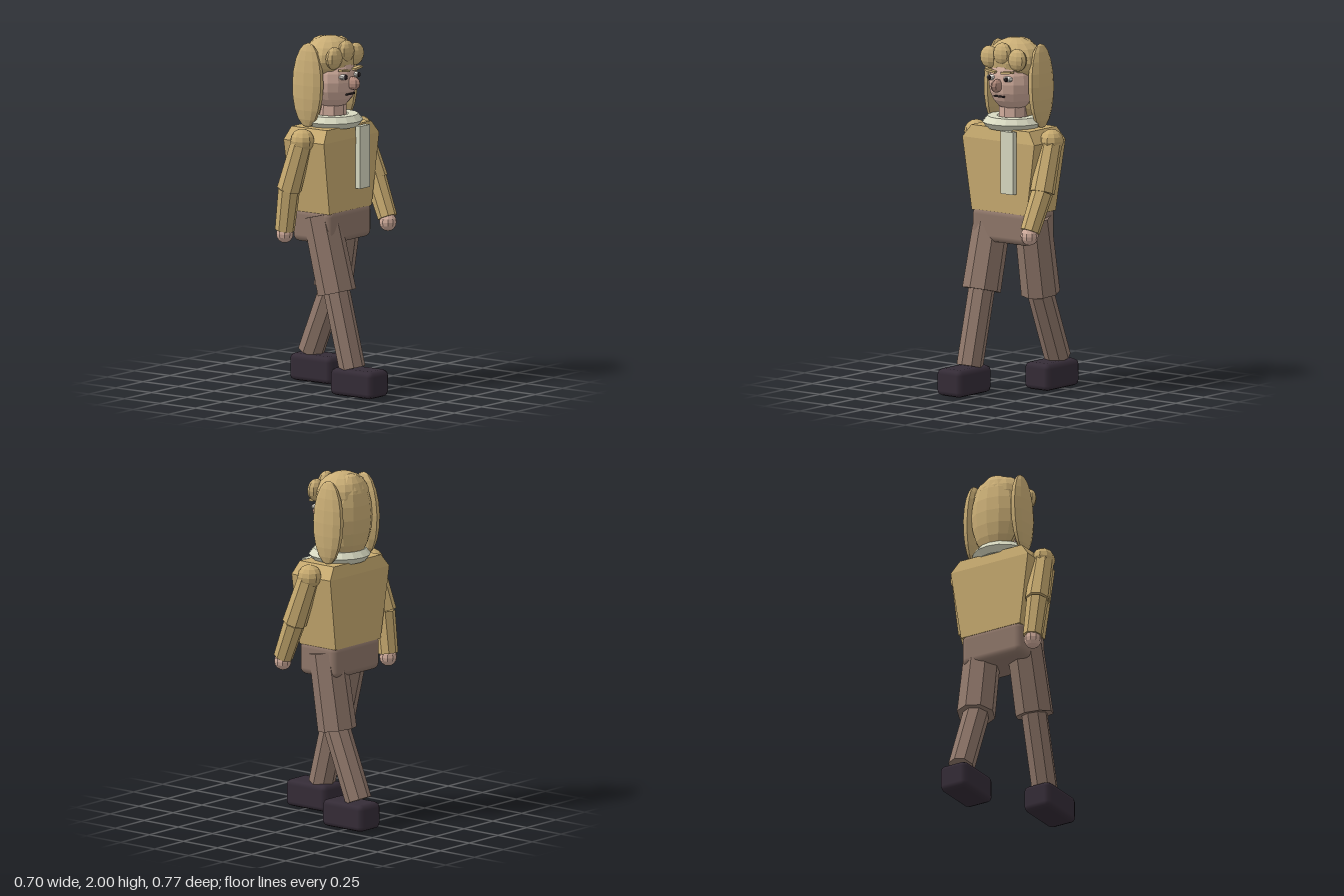
import * as THREE from 'three';
import { RoundedBoxGeometry } from 'three/addons/geometries/RoundedBoxGeometry.js';

const V = (x, y, z) => new THREE.Vector3(x, y, z);

function mat(name, color, flat = true) {
  const m = new THREE.MeshStandardMaterial({ color, flatShading: flat });
  m.name = name;
  return m;
}

export function createModel() {
  const root = new THREE.Group();
  root.name = 'walkingFigure';
  const coat = mat('tan coat', 0xc8ab70);
  const hair = mat('blond hair', 0xcaae76);
  const trousers = mat('brown trousers', 0x8f776a);
  const shoe = mat('dark shoe', 0x352c37, false);
  const skin = mat('skin', 0xcfab9b);
  const noseSkin = mat('nose skin', 0xb58d7e);
  const scarf = mat('pale scarf', 0xd9dac2);
  const white = mat('eye white', 0xeeeae2);
  const dark = mat('dark feature', 0x2c2426);

  const add = (name, geo, m, pos, parent = root) => {
    const mesh = new THREE.Mesh(geo, m);
    mesh.name = name;
    mesh.position.copy(pos);
    parent.add(mesh);
    return mesh;
  };
  // faceted ellipsoid
  const blob = (name, m, pos, r, w = 10, h = 8) => {
    const mesh = add(name, new THREE.SphereGeometry(1, w, h), m, pos);
    mesh.scale.set(...r);
    return mesh;
  };
  // eight-sided limb segment from a (top) to b (bottom)
  const limb = (name, m, a, b, ra, rb) => {
    const d = a.clone().sub(b);
    const mesh = add(name, new THREE.CylinderGeometry(ra, rb, d.length(), 8), m, a.clone().add(b).multiplyScalar(0.5));
    mesh.quaternion.setFromUnitVectors(V(0, 1, 0), d.normalize());
    return mesh;
  };

  // torso: stacked rectangular sections, [y, half width, back z, front z]
  const rings = [[1.02, 0.195, -0.185, 0.08], [1.43, 0.256, -0.197, 0.087], [1.5, 0.205, -0.18, 0.07]];
  const pts = [];
  for (const [y, w, b, f] of rings) pts.push(-w, y, f, w, y, f, w, y, b, -w, y, b);
  const idx = [0, 2, 1, 0, 3, 2, 8, 9, 10, 8, 10, 11];
  for (let r = 0; r < 2; r++) {
    for (let i = 0; i < 4; i++) {
      const a = r * 4 + i, b = r * 4 + (i + 1) % 4;
      idx.push(a, b, b + 4, a, b + 4, a + 4);
    }
  }
  const torso = new THREE.BufferGeometry();
  torso.setAttribute('position', new THREE.Float32BufferAttribute(pts, 3));
  torso.setIndex(idx);
  torso.computeVertexNormals();
  add('torso', torso, coat, V(0, 0, 0));

  // pelvis
  const pelvisMat = mat('brown trouser seat', 0x8f776a, false);
  add('pelvis', new RoundedBoxGeometry(0.4, 0.195, 0.275, 2, 0.04), pelvisMat, V(0, 0.943, -0.05));

  // legs: one striding forward, one trailing
  const legs = [
    { n: 'right', x: -0.125, hip: [1.0, -0.03], knee: [0.57, 0.08], ankle: [0.15, 0.187], foot: 0.238 },
    { n: 'left', x: 0.125, hip: [0.985, -0.065], knee: [0.548, -0.138], ankle: [0.163, -0.293], foot: -0.24 },
  ];
  for (const l of legs) {
    const p = ([y, z]) => V(l.x, y, z);
    limb(l.n + 'Thigh', trousers, p(l.hip), p(l.knee), 0.105, 0.11);
    limb(l.n + 'Shin', trousers, p(l.knee), p(l.ankle), 0.075, 0.075);
    add(l.n + 'Shoe', new RoundedBoxGeometry(0.176, 0.155, 0.295, 1, 0.03), shoe, V(l.x, 0.0775, l.foot));
  }

  // arms swinging opposite to the legs
  const arms = [
    { n: 'left', s: V(0.268, 1.44, -0.055), e: V(0.28, 1.16, 0.045), w: V(0.266, 0.95, 0.138), h: V(0.265, 0.925, 0.142) },
    { n: 'right', s: V(-0.268, 1.44, -0.055), e: V(-0.282, 1.155, -0.138), w: V(-0.274, 0.92, -0.174), h: V(-0.274, 0.9, -0.174) },
  ];
  for (const a of arms) {
    blob(a.n + 'Shoulder', coat, a.s, [0.066, 0.066, 0.072]);
    limb(a.n + 'UpperArm', coat, a.s, a.e, 0.062, 0.07);
    limb(a.n + 'Forearm', coat, a.e, a.w, 0.062, 0.056);
    blob(a.n + 'Hand', skin, a.h, [0.05, 0.053, 0.05]);
  }

  // neck and scarf
  add('neck', new THREE.CylinderGeometry(0.08, 0.085, 0.16, 8), skin, V(0, 1.56, -0.05));
  const collar = add('scarfCollar', new THREE.TorusGeometry(0.12, 0.055, 6, 16), scarf, V(0, 1.525, -0.05));
  collar.rotation.x = Math.PI / 2;
  collar.scale.z = 0.72;
  add('scarfTail', new THREE.BoxGeometry(0.09, 0.355, 0.032), scarf, V(0.085, 1.317, 0.102));

  // head and face
  blob('head', skin, V(0, 1.75, -0.045), [0.14, 0.165, 0.135], 14, 10);
  blob('nose', noseSkin, V(0, 1.745, 0.1), [0.026, 0.038, 0.048], 8, 6);
  add('mouth', new THREE.BoxGeometry(0.07, 0.009, 0.012), dark, V(0, 1.682, 0.078));
  for (const s of [-1, 1]) {
    blob('eye', white, V(s * 0.06, 1.785, 0.075), [0.032, 0.016, 0.02], 8, 6);
    blob('pupil', dark, V(s * 0.06, 1.785, 0.092), [0.013, 0.014, 0.01], 8, 6);
    const brow = add('eyebrow', new THREE.BoxGeometry(0.072, 0.012, 0.03), hair, V(s * 0.058, 1.822, 0.08));
    brow.rotation.z = s * 0.12;
  }

  // hair: crown, long back, side locks and three curls over the forehead
  blob('hairCrown', hair, V(0, 1.87, -0.07), [0.168, 0.13, 0.14], 14, 10);
  blob('hairBack', hair, V(0, 1.745, -0.13), [0.15, 0.25, 0.098], 12, 10);
  for (const s of [-1, 1]) {
    const lock = blob('sideLock', hair, V(s * 0.158, 1.735, -0.1), [0.042, 0.24, 0.105], 10, 10);
    lock.rotation.z = s * 0.03;
  }
  for (const x of [-0.1, 0, 0.1]) {
    blob('forelockCurl', hair, V(x, x ? 1.893 : 1.92, x ? 0.04 : 0.048), [0.06, 0.064, 0.038]);
  }
  return root;
}
